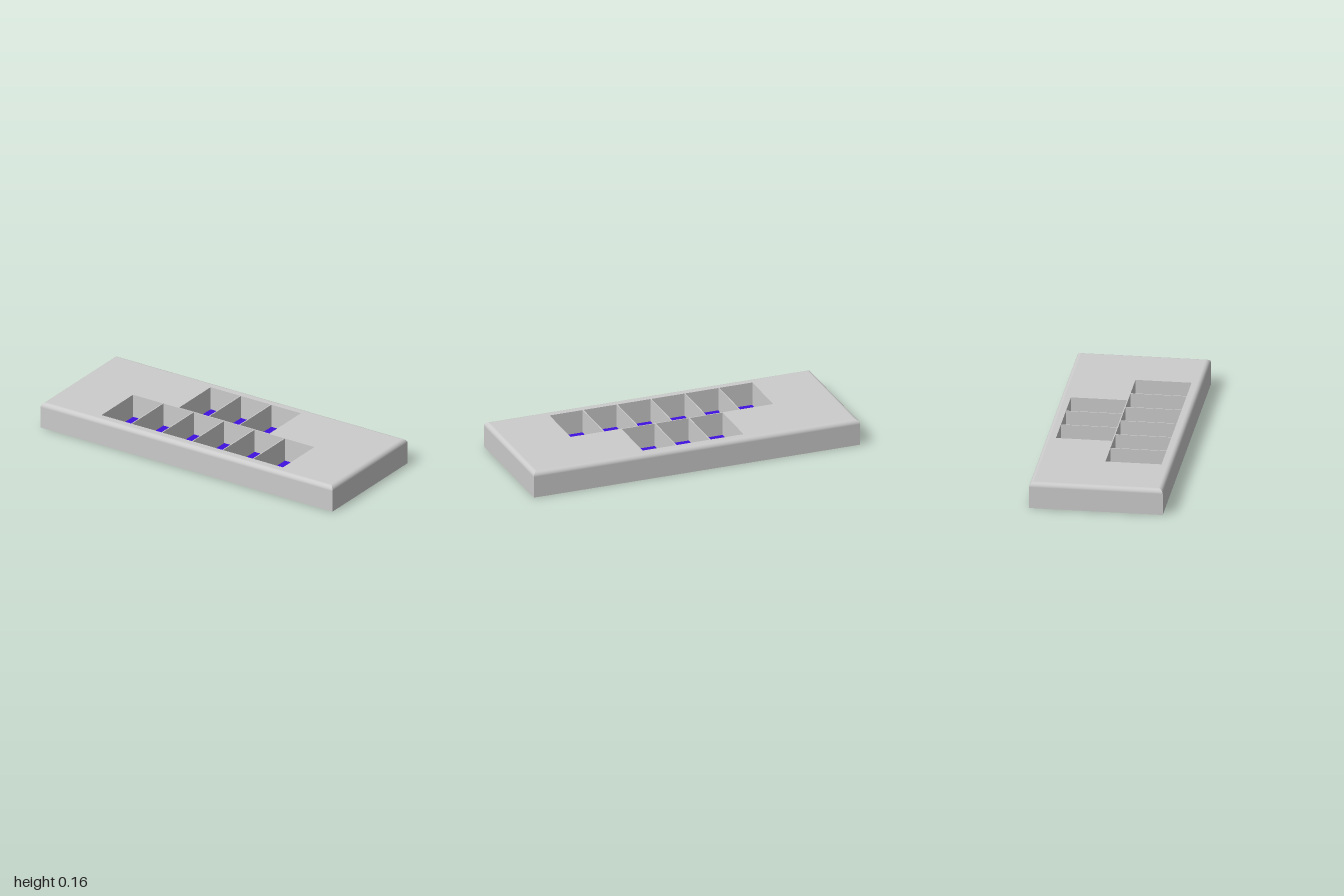
import * as THREE from 'three';

const HALF_X = 1, HALF_Z = 0.385, HEIGHT = 0.155, EDGE = 0.027;
const FLOOR = 0.016, PITCH = 0.208, WALL = 0.006, DEPTH = 0.325;

// Outer skin of one side: vertical wall running into a quarter-round top edge
function sideSkin(nx, nz) {
  const pos = [], nor = [], idx = [], steps = 8;
  const rows = [{ y: 0, inset: 0, a: 0 }];
  for (let i = 0; i <= steps; i++) {
    const a = (i / steps) * Math.PI / 2;
    rows.push({ y: HEIGHT - EDGE + EDGE * Math.sin(a), inset: EDGE * (1 - Math.cos(a)), a });
  }
  rows.forEach(({ y, inset, a }, i) => {
    const hx = HALF_X - inset, hz = HALF_Z - inset;
    for (const s of [-1, 1]) {
      pos.push((nx + s * nz) * hx, y, (nz - s * nx) * hz);
      nor.push(nx * Math.cos(a), Math.sin(a), nz * Math.cos(a));
    }
    if (i) {
      const k = 2 * (i - 1);
      idx.push(k, k + 1, k + 3, k, k + 3, k + 2);
    }
  });
  const g = new THREE.BufferGeometry();
  g.setAttribute('position', new THREE.Float32BufferAttribute(pos, 3));
  g.setAttribute('normal', new THREE.Float32BufferAttribute(nor, 3));
  g.setIndex(idx);
  return g;
}

// Path of a rectangle given by its centre and size
function rect(path, x, y, w, h) {
  path.moveTo(x - w / 2, y - h / 2);
  path.lineTo(x + w / 2, y - h / 2);
  path.lineTo(x + w / 2, y + h / 2);
  path.lineTo(x - w / 2, y + h / 2);
  path.closePath();
  return path;
}

export function createModel() {
  const model = new THREE.Group();
  const grey = new THREE.MeshStandardMaterial({ color: 0xcccccc });
  const blue = new THREE.MeshStandardMaterial({ color: 0x4010e0 });
  const add = (name, geometry, material, parent = model) => {
    const mesh = new THREE.Mesh(geometry, material);
    mesh.name = name;
    parent.add(mesh);
    return mesh;
  };

  // Six pockets in the front row, three in the back row
  const pocketW = PITCH - WALL, pocketD = DEPTH - WALL / 2;
  const pockets = [];
  for (const [count, side] of [[6, 1], [3, -1]]) {
    for (let i = 0; i < count; i++) {
      pockets.push({ x: (i - (count - 1) / 2) * PITCH, z: side * (DEPTH + WALL / 2) / 2 });
    }
  }

  // Outer walls and underside
  const body = new THREE.Group();
  body.name = 'trayBody';
  model.add(body);
  for (const [name, nx, nz] of [['front', 0, 1], ['back', 0, -1], ['left', 1, 0], ['right', -1, 0]]) {
    add(name + 'Side', sideSkin(nx, nz), grey, body);
  }
  add('underside', new THREE.PlaneGeometry(2 * HALF_X, 2 * HALF_Z).rotateX(Math.PI / 2), grey, body);

  // Top surface with the pocket walls and dividers
  const top = rect(new THREE.Shape(), 0, 0, 2 * (HALF_X - EDGE), 2 * (HALF_Z - EDGE));
  for (const { x, z } of pockets) top.holes.push(rect(new THREE.Path(), x, -z, pocketW, pocketD));
  const core = new THREE.ExtrudeGeometry(top, { depth: HEIGHT - FLOOR, bevelEnabled: false });
  add('topWithPockets', core.rotateX(-Math.PI / 2), grey, body).position.y = FLOOR;

  // Coloured pocket floors
  const floors = new THREE.Group();
  floors.name = 'pocketFloors';
  model.add(floors);
  const floor = new THREE.BoxGeometry(pocketW, 0.01, pocketD);
  for (const { x, z } of pockets) add('pocketFloor', floor, blue, floors).position.set(x, FLOOR - 0.005, z);

  return model;
}
